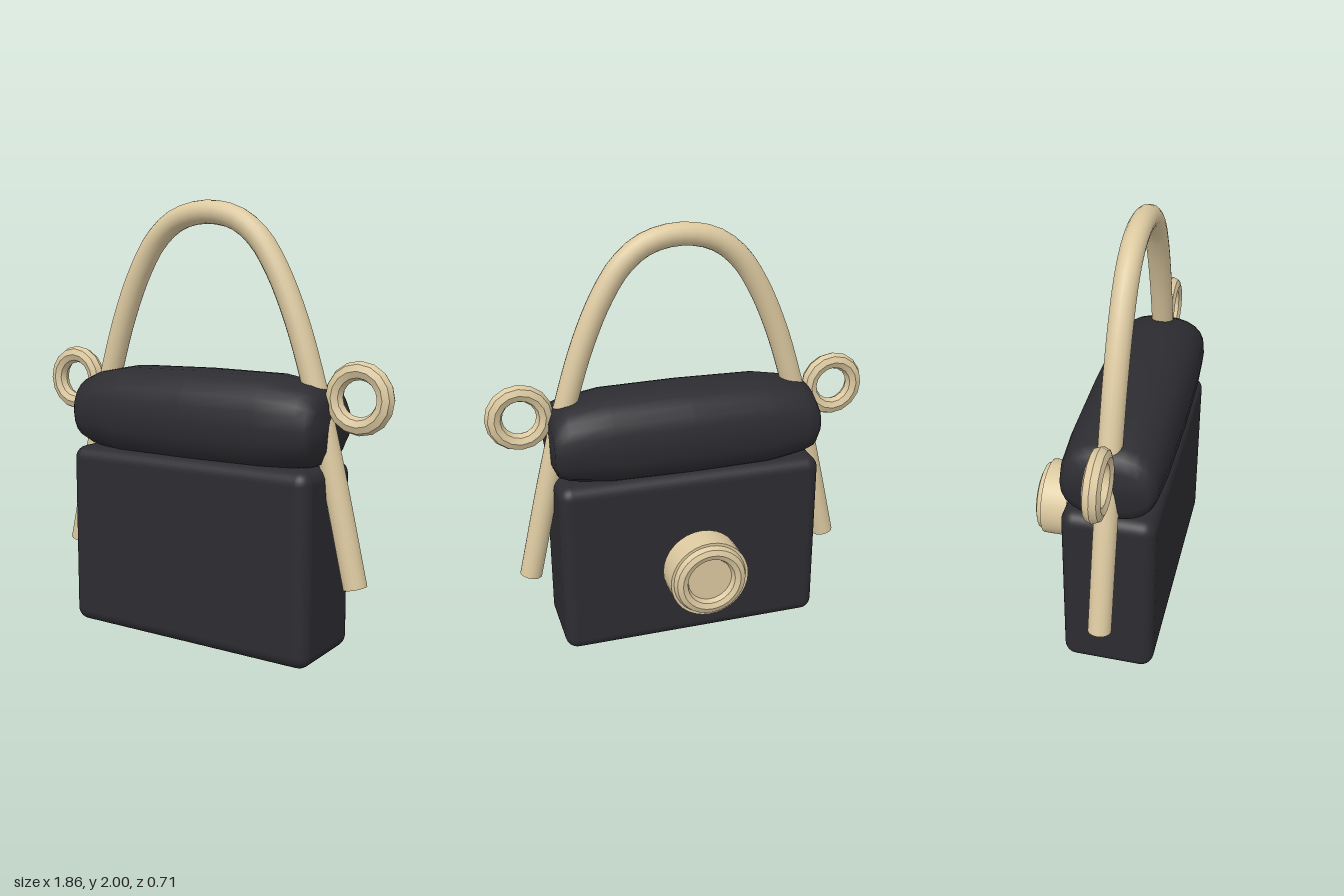
import * as THREE from 'three';
import { RoundedBoxGeometry } from 'three/addons/geometries/RoundedBoxGeometry.js';
import { toCreasedNormals } from 'three/addons/utils/BufferGeometryUtils.js';

const Z = 0.125; // centre plane of the bag
const leather = new THREE.MeshStandardMaterial({ color: 0x2d2c31 });
const brass = new THREE.MeshStandardMaterial({ color: 0xdcc9a0 });

// Puffy lid: superellipse cross-sections lofted along x
function lidGeometry() {
  const half = [[0.645, 0, 0], [0.645, 0.1, 0.18], [0.62, 0.158, 0.205], [0.57, 0.18, 0.215], [0.38, 0.214, 0.225]];
  const sections = [
    ...half.map(([x, h, d]) => [-x, h, d]),
    [0, 0.22, 0.23],
    ...half.slice().reverse(),
  ];
  const n = 24;
  const power = (v) => Math.sign(v) * Math.abs(v) ** (2 / 2.45);
  const positions = [];
  const index = [];
  sections.forEach(([x, h, d], i) => {
    for (let j = 0; j < n; j++) {
      const a = (j / n) * Math.PI * 2;
      positions.push(x, h * power(Math.cos(a)), d * power(Math.sin(a)));
      if (i === 0) continue;
      const k = (j + 1) % n;
      const a0 = (i - 1) * n + j, a1 = (i - 1) * n + k;
      const b0 = i * n + j, b1 = i * n + k;
      index.push(a0, a1, b0, a1, b1, b0);
    }
  });
  const g = new THREE.BufferGeometry();
  g.setAttribute('position', new THREE.Float32BufferAttribute(positions, 3));
  g.setIndex(index);
  return toCreasedNormals(g, 0.9);
}

export function createModel() {
  const model = new THREE.Group();
  const add = (name, geometry, material, x, y, z, parent = model) => {
    const mesh = new THREE.Mesh(geometry, material);
    mesh.name = name;
    mesh.position.set(x, y, z);
    parent.add(mesh);
    return mesh;
  };

  // Bag body and lid
  add('body', new RoundedBoxGeometry(1.28, 0.86, 0.425, 4, 0.06), leather, 0, 0.43, Z);
  add('lid', lidGeometry(), leather, 0, 1.03, Z);

  // Arched handle with closed ends
  const side = [[0.765, 0.345], [0.65, 0.84], [0.55, 1.22], [0.465, 1.48], [0.37, 1.69], [0.275, 1.83], [0.16, 1.915]];
  const points = [
    ...side.map(([x, y]) => new THREE.Vector3(-x, y, 0)),
    new THREE.Vector3(0, 1.947, 0),
    ...side.slice().reverse().map(([x, y]) => new THREE.Vector3(x, y, 0)),
  ];
  const path = new THREE.CatmullRomCurve3(points);
  const handle = new THREE.Group();
  handle.name = 'handle';
  handle.position.z = Z;
  model.add(handle);
  add('handleArch', new THREE.TubeGeometry(path, 64, 0.053, 16), brass, 0, 0, 0, handle);
  for (const t of [0, 1]) {
    const p = path.getPoint(t);
    const cap = add('handleEnd', new THREE.CircleGeometry(0.053, 16), brass, p.x, p.y, 0, handle);
    const outward = path.getTangent(t).multiplyScalar(t ? 1 : -1);
    cap.quaternion.setFromUnitVectors(new THREE.Vector3(0, 0, 1), outward);
  }

  // Side rings
  for (const s of [1, -1]) {
    const ring = new THREE.TorusGeometry(0.118, 0.04, 8, 16);
    add(s > 0 ? 'leftRing' : 'rightRing', toCreasedNormals(ring, 0.6), brass, s * 0.77, 1.16, Z);
  }

  // Round clasp floating behind the bag
  const clasp = new THREE.Group();
  clasp.name = 'clasp';
  clasp.position.set(0, 0.432, 0);
  model.add(clasp);
  const drum = add('claspDrum', new THREE.CylinderGeometry(0.188, 0.188, 0.13, 32), brass, 0, 0, -0.255, clasp);
  drum.rotation.x = Math.PI / 2;
  const rim = new THREE.TorusGeometry(0.14, 0.035, 8, 32);
  add('claspRim', toCreasedNormals(rim, 0.6), brass, 0, 0, -0.32, clasp);

  return model;
}
